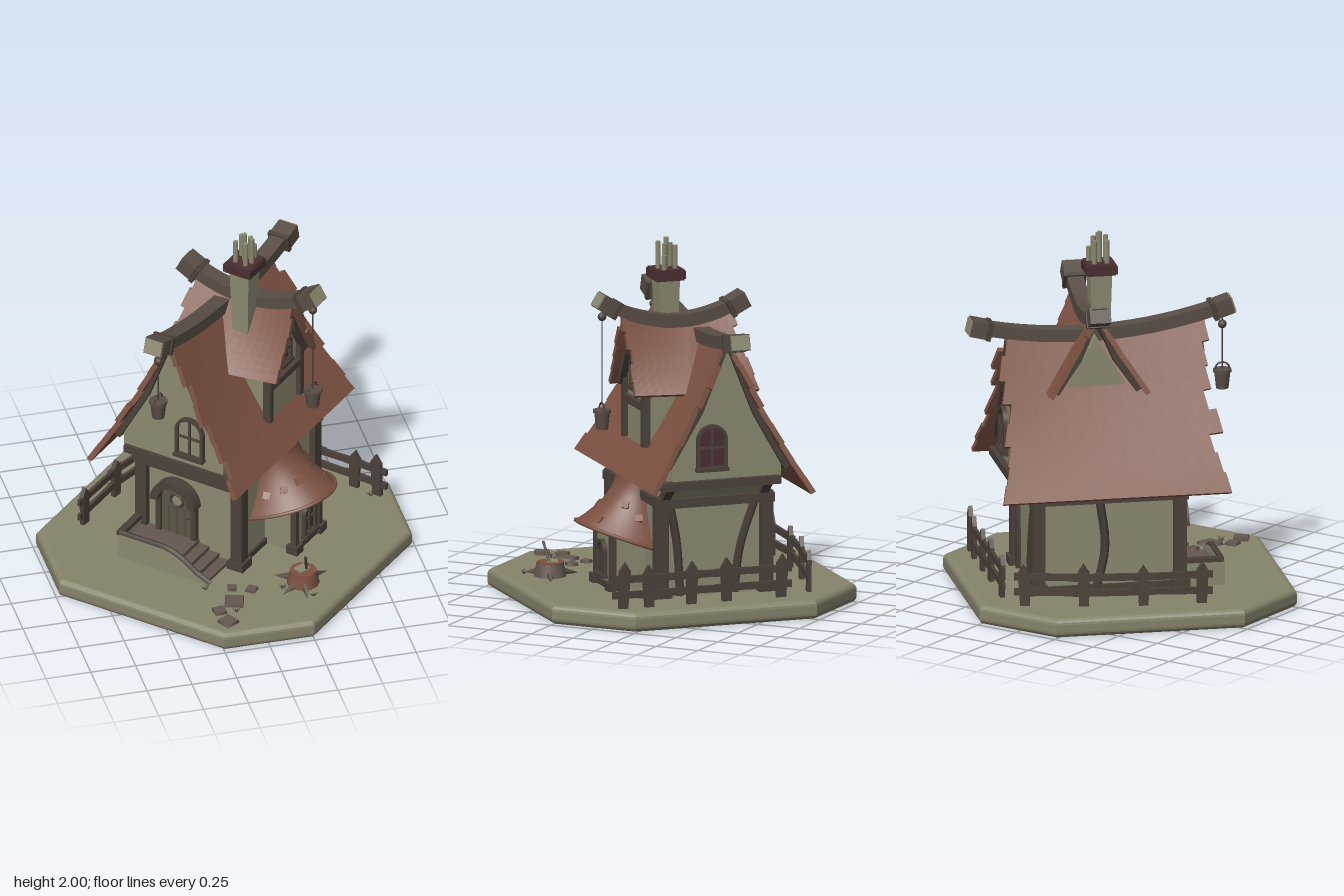
import * as THREE from 'three';

const mat = (name, color) => Object.assign(new THREE.MeshStandardMaterial({ color }), { name });
const M = {
  ground: mat('ground', 0x86846b), plaster: mat('plaster', 0x8c8a71), roof: mat('roofTiles', 0x7e5343),
  wood: mat('darkTimber', 0x4c413a), beam: mat('ridgeTimber', 0x594e45), maroon: mat('maroon', 0x4b2f31),
  stump: mat('stumpWood', 0x7e5040), door: mat('doorWood', 0x5a5645), stone: mat('stone', 0x655850),
};
M.shell = mat('roofShell', 0x7a5041);
M.shell.side = THREE.DoubleSide;

let seed = 7;
const rand = () => (seed = (seed * 16807) % 2147483647) / 2147483647;
const { lerp, clamp } = THREE.MathUtils;
const V = (x, y, z) => new THREE.Vector3(x, y, z);

function add(parent, name, geo, material, pos = [0, 0, 0], rot = [0, 0, 0]) {
  const m = new THREE.Mesh(geo, material);
  m.name = name; m.position.set(...pos); m.rotation.set(...rot);
  parent.add(m);
  return m;
}
function group(parent, name, pos = [0, 0, 0], ry = 0) {
  const g = new THREE.Group();
  g.name = name; g.position.set(...pos); g.rotation.y = ry;
  parent.add(g);
  return g;
}
const box = (p, name, m, size, pos, rot) => add(p, name, new THREE.BoxGeometry(...size), m, pos, rot);

// Moves every vertex by a rule; flat facets unless smooth
function warp(geo, fn, smooth = false) {
  const g = smooth ? geo : geo.toNonIndexed(), a = g.attributes.position;
  for (let i = 0; i < a.count; i++) a.setXYZ(i, ...fn(a.getX(i), a.getY(i), a.getZ(i)));
  g.computeVertexNormals();
  return g;
}
const extrude = (shape, depth) => new THREE.ExtrudeGeometry(shape, { depth, bevelEnabled: false, curveSegments: 10 });
const poly = pts => new THREE.Shape(pts.map(p => new THREE.Vector2(...p)));
// Extrudes a (z, y) outline along x, centred on x = 0
const sideExtrude = (shape, depth) => extrude(shape, depth).translate(0, 0, -depth / 2).rotateY(-Math.PI / 2);

function arch(w, h, y0 = 0) {
  const s = new THREE.Shape();
  s.moveTo(-w / 2, y0); s.lineTo(w / 2, y0); s.lineTo(w / 2, h - w / 2);
  s.absarc(0, h - w / 2, w / 2, 0, Math.PI); s.lineTo(-w / 2, y0);
  return s;
}
function archWindow(parent, w, h, pos, ry, pane) {
  const g = group(parent, 'window', pos, ry);
  add(g, 'pane', extrude(arch(w, h), 0.008), pane);
  const ring = arch(w + 0.036, h + 0.018, -0.01);
  ring.holes.push(arch(w, h, 0.005));
  add(g, 'frame', extrude(ring, 0.025), M.wood);
  box(g, 'mullion', M.wood, [0.012, h, 0.018], [0, h / 2, 0.009]);
  box(g, 'transom', M.wood, [w, 0.012, 0.018], [0, h * 0.5, 0.009]);
  box(g, 'sill', M.wood, [w + 0.045, 0.02, 0.035], [0, -0.01, 0.018]);
}

// Pitched roof with its ridge along x, made in courses with ragged ends
function pitchedRoof(parent, r) {
  const point = (x, t, h, side) => [x, lerp(r.ridge(x), side > 0 ? r.eave : r.eaveBack, t) - r.sag * Math.sin(Math.PI * t) + h * 0.5, side * Math.max(0, r.half(x) * t + h * 0.85)];
  const slab = (name, m, side, t0, t1, a, b, h0, h1) => add(parent, name, warp(new THREE.BoxGeometry(1, 1, 1, 14, 1, 2), (x, y, z) => {
    const t = lerp(t0, t1, side > 0 ? z + 0.5 : 0.5 - z);
    return point(lerp(a(t), b(t), x + 0.5), t, lerp(h0, h1, y + 0.5), side);
  }), m);
  for (const side of [1, -1]) {
    for (let i = 0; i < r.rows; i++) {
      const last = i === r.rows - 1, t1 = last ? 1 : (i + 1.1) / r.rows;
      const j0 = last ? 0 : rand() ** 2 * r.rag, j1 = last ? 0 : rand() ** 2 * r.rag, slant = 0.25 * r.rag;
      const drop = t => slant * (1 - t * r.rows + i);
      slab('roofCourse', M.roof, side, i / r.rows, t1,
        t => lerp(r.x0[0], r.x0[1], t) + j0 + drop(t), t => lerp(r.x1[0], r.x1[1], t) - j1 - drop(t), -0.012, 0.018);
    }
    for (const x of r.barge) slab('bargeBoard', M.wood, side, 0, r.bargeEnd, () => x - 0.02, () => x + 0.02, -0.045, -0.012);
  }
  // Curved ridge beam with a block at each end
  const L = r.beam[1] - r.beam[0], c = (r.beam[0] + r.beam[1]) / 2;
  add(parent, 'ridgeBeam', warp(new THREE.BoxGeometry(L, 0.07, 0.09, 16), (x, y, z) => [x + c, y + r.ridge(x + c) + 0.015, z]), M.beam);
  r.beam.forEach((x, i) => {
    const d = i ? 1 : -1, tilt = Math.atan((r.ridge(x + 0.01) - r.ridge(x - 0.01)) / 0.02);
    const e = group(parent, 'beamEnd', [x, r.ridge(x) + 0.01, 0]);
    e.rotation.z = tilt;
    box(e, 'endBlock', M.beam, [0.09, 0.09, 0.115], [-d * 0.03, 0, 0]);
    box(e, 'endCollar', M.wood, [0.025, 0.1, 0.125], [-d * 0.09, 0, 0]);
    if (r.pale[i]) box(e, 'endFace', M.plaster, [0.009, 0.08, 0.105], [d * 0.019, 0, 0]);
  });
}
const gableShape = (w, y0, knee, apex) => poly([[-w, y0], [w, y0], [w, knee], [0, apex], [-w, knee]]);

function hanging(parent, x, z, top, bottom) {
  const g = group(parent, 'hangingLantern', [x, 0, z]);
  add(g, 'cord', new THREE.CylinderGeometry(0.004, 0.004, top - bottom - 0.1, 6), M.wood, [0, (top + bottom + 0.1) / 2, 0]);
  add(g, 'bead', new THREE.SphereGeometry(0.024, 10, 8), M.wood, [0, top - 0.1, 0]);
  add(g, 'pail', new THREE.CylinderGeometry(0.045, 0.034, 0.1, 10), M.beam, [0, bottom + 0.05, 0]);
  add(g, 'pailRim', new THREE.CylinderGeometry(0.051, 0.051, 0.016, 10), M.beam, [0, bottom + 0.1, 0]);
  add(g, 'handle', new THREE.TorusGeometry(0.04, 0.005, 5, 12, Math.PI), M.wood, [0, bottom + 0.105, 0]);
}

function fence(root, pts) {
  const g = group(root, 'fence');
  pts.forEach(([x, z], i) => {
    const [nx, nz] = pts[i + 1] || pts[i - 1], ry = -Math.atan2(nz - z, nx - x), h = 0.22 + rand() * 0.04;
    add(g, 'picket', extrude(poly([[-0.026, 0], [0.026, 0], [0.032, h - 0.05], [0, h], [-0.032, h - 0.05]]), 0.025).translate(0, 0, -0.012), M.wood, [x, 0.105, z], [0, ry, (rand() - 0.5) * 0.12]);
    if (!pts[i + 1]) return;
    for (const y of [0.18, 0.265]) box(g, 'rail', M.wood, [Math.hypot(nx - x, nz - z) + 0.12, 0.038, 0.018], [(x + nx) / 2, y, (z + nz) / 2], [0, ry, (rand() - 0.5) * 0.08]);
  });
}

export function createModel() {
  const root = new THREE.Group();
  root.name = 'cottage';

  // Octagonal ground with a rounded edge
  const q = [[-0.25, 0.985], [-0.985, 0.25], [-0.985, -0.25], [-0.25, -0.985], [0.25, -0.985], [0.985, -0.25], [0.985, 0.25], [0.25, 0.985]];
  add(root, 'ground', new THREE.ExtrudeGeometry(poly(q), { depth: 0.04, bevelThickness: 0.033, bevelSize: 0.033, bevelOffset: -0.033, bevelSegments: 4 }).rotateX(-Math.PI / 2).translate(0, 0.033, 0), M.ground);

  // The house stands at 45 degrees; its ridge runs along x, its door at -x
  const H = group(root, 'house', [0, 0, 0], Math.PI / 4);
  box(H, 'lowerWalls', M.plaster, [0.78, 0.75, 0.6], [0.13, 0.475, -0.05]);
  for (const x of [-0.26, 0.52]) for (const z of [-0.35, 0.25]) {
    box(H, 'cornerPost', M.wood, [0.07, 0.56, 0.07], [x, 0.38, z]);
    box(H, 'postFoot', M.wood, [0.1, 0.05, 0.1], [x, 0.13, z]);
  }
  for (const z of [-0.35, 0.25]) {
    box(H, 'sideBand', M.wood, [0.84, 0.05, 0.06], [0.13, 0.625, z]);
    box(H, 'sidePlinth', M.wood, [0.78, 0.035, 0.03], [0.13, 0.125, z]);
  }
  for (const [x, d] of [[-0.26, -1], [0.52, 1]]) {
    box(H, 'endBand', M.wood, [0.07, 0.05, 0.68], [x + d * 0.01, 0.625, -0.05]);
    add(H, 'jettyCove', extrude(poly(d < 0 ? [[0, 0], [0, 0.1], [-0.1, 0.1]] : [[0, 0], [0.1, 0.1], [0, 0.1]]), 0.58), M.plaster, [x, 0.64, -0.34]);
    for (const z of [-0.33, 0.23]) box(H, 'jettyBracket', M.wood, [0.14, 0.045, 0.05], [x + d * 0.05, 0.69, z], [0, 0, d * 0.75]);
    box(H, 'jettyBeam', M.wood, [0.06, 0.045, 0.68], [x + d * 0.115, 0.74, -0.05]);
  }
  // Curved braces on the back and far end
  const brace = (a, b, c) => add(H, 'curvedBrace', new THREE.TubeGeometry(new THREE.CatmullRomCurve3([V(...a), V(...b), V(...c)]), 8, 0.024, 4), M.wood);
  brace([0.525, 0.11, -0.17], [0.525, 0.35, -0.2], [0.525, 0.62, -0.29]);
  brace([0.525, 0.11, 0.14], [0.525, 0.4, 0.16], [0.525, 0.62, 0.2]);
  brace([0.2, 0.11, -0.352], [0.15, 0.35, -0.352], [0.18, 0.62, -0.352]);

  // Main roof and gables
  const main = group(H, 'mainRoof', [0, 0, -0.09]);
  pitchedRoof(main, {
    ridge: x => 1.465 + 0.2 * (x - 0.22) ** 2, eave: 0.72, eaveBack: 0.67, half: () => 0.455, sag: 0.035, rows: 8, rag: 0.07,
    x0: [-0.46, -0.51], x1: [0.69, 0.745], barge: [-0.385, 0.63], bargeEnd: 0.8, beam: [-0.58, 0.83], pale: [true, true],
  });
  [[-0.365, 1.51, -1, M.plaster, 0.11], [0.61, 1.47, 1, M.maroon, 0.09]].forEach(([x, apex, d, pane, z]) => {
    add(main, 'gableWall', sideExtrude(gableShape(0.31, 0.72, 0.88, apex), 0.04), M.plaster, [x, 0, 0]);
    archWindow(main, 0.14, 0.22, [x + d * 0.021, 0.83, z], d * Math.PI / 2, pane);
  });

  // Cross roof with a gable at each end, narrowing toward the front
  const dormer = group(H, 'dormer', [0.175, 0, 0], -Math.PI / 2);
  pitchedRoof(dormer, {
    ridge: x => 1.54 + 0.7 * (x - 0.03) ** 2, eave: 1.19, eaveBack: 1.19, half: x => 0.265 - 0.065 * clamp(x / 0.36, 0, 1), sag: 0.01, rows: 5, rag: 0.03,
    x0: [-0.28, -0.34], x1: [0.37, 0.35], barge: [-0.25, 0.29], bargeEnd: 0.95, beam: [-0.34, 0.47], pale: [false, true],
  });
  add(dormer, 'dormerWalls', sideExtrude(gableShape(0.155, 0.84, 1.24, 1.5), 0.5), M.plaster, [0.015, 0, 0]);
  archWindow(dormer, 0.085, 0.14, [0.266, 1.205, 0], Math.PI / 2, M.maroon);
  box(dormer, 'dormerTie', M.wood, [0.04, 0.04, 0.34], [0.275, 1.12, 0]);
  for (const z of [-0.16, 0.16]) box(dormer, 'dormerPost', M.wood, [0.045, 0.34, 0.036], [0.27, 1.07, z]);

  // Square tapered chimney with clay pots
  const ch = group(H, 'chimney', [0.1, 0, 0.07]);
  add(ch, 'stack', warp(new THREE.BoxGeometry(0.12, 0.4, 0.12), (x, y, z) => [x * (0.9 + y / 2), y, z * (0.9 + y / 2)]), M.plaster, [0, 1.59, 0]);
  box(ch, 'chimneyCap', M.maroon, [0.17, 0.045, 0.17], [0, 1.8, 0]);
  box(ch, 'capLip', M.maroon, [0.155, 0.062, 0.155], [0, 1.8, 0]);
  [[0, 0, 0.17], [0.03, 0.02, 0.14], [-0.04, 0.03, 0.14], [0.035, -0.04, 0.13], [-0.035, -0.035, 0.13], [0, 0.045, 0.15], [0.055, 0.03, 0.08]]
    .forEach(([x, z, h]) => add(ch, 'chimneyPot', new THREE.CylinderGeometry(0.014, 0.014, h, 8), M.plaster, [x, 1.83 + h / 2, z]));

  hanging(H, 0.165, 0.46, 1.7, 0.98);
  hanging(H, -0.545, -0.09, 1.59, 1.13);

  // Bay with a flared half-round roof
  const bay = group(H, 'bay', [0.13, 0, 0.25]);
  box(bay, 'bayWalls', M.plaster, [0.26, 0.38, 0.26], [0.01, 0.29, 0.06]);
  for (const s of [-1, 1]) {
    box(bay, 'bayPost', M.wood, [0.035, 0.35, 0.035], [0.01 + s * 0.125, 0.28, 0.185]);
    box(bay, 'bayFoot', M.wood, [0.07, 0.05, 0.07], [0.01 + s * 0.125, 0.13, 0.185]);
  }
  box(bay, 'bayPlinth', M.wood, [0.25, 0.035, 0.02], [0.01, 0.125, 0.19]);
  archWindow(bay, 0.09, 0.17, [0.01, 0.18, 0.191], 0, M.maroon);
  const cone = (a, t) => [Math.sin(a) * (0.13 + 0.145 * t ** 1.8), lerp(0.73, 0.35 + 0.12 * Math.cos(a), t), Math.cos(a) * (0.11 + 0.225 * t ** 2)];
  add(bay, 'bayRoof', warp(new THREE.CylinderGeometry(1, 1, 1, 24, 8, true, -Math.PI / 2, Math.PI), (x, y, z) => cone(Math.atan2(x, z), 0.5 - y), true), M.shell);
  const rim = Array.from({ length: 17 }, (_, i) => V(...cone((i / 16 - 0.5) * Math.PI, 1)));
  add(bay, 'bayRoofRim', new THREE.TubeGeometry(new THREE.CatmullRomCurve3(rim), 32, 0.011, 5), M.roof);
  for (let i = 0; i < 7; i++) {
    const a = (i / 6 - 0.5) * 2.6;
    box(bay, 'looseTile', M.roof, [0.04, 0.04, 0.012], cone(a, 0.5 + 0.4 * rand()), [-0.7, a, 0]).rotation.order = 'YXZ';
  }

  // Arched door
  const door = group(H, 'door', [-0.262, 0.2, -0.13], -Math.PI / 2);
  add(door, 'doorLeaf', extrude(arch(0.19, 0.31), 0.015), M.door);
  for (const x of [-0.05, 0, 0.05]) box(door, 'plankSeam', M.wood, [0.006, 0.17, 0.006], [x, 0.085, 0.016]);
  add(door, 'roundPane', new THREE.CircleGeometry(0.035, 16), M.plaster, [0, 0.215, 0.018]);
  add(door, 'roundFrame', new THREE.TorusGeometry(0.038, 0.008, 6, 18), M.wood, [0, 0.215, 0.018]);
  add(door, 'doorKnob', new THREE.SphereGeometry(0.011, 8, 6), M.wood, [0.07, 0.13, 0.024]);
  const hood = new THREE.Shape();
  hood.absarc(0, 0.215, 0.14, 0, Math.PI); hood.absarc(0, 0.215, 0.095, Math.PI, 0, true);
  add(door, 'doorHood', extrude(hood, 0.07), M.wood);
  for (const x of [-0.11, 0.11]) box(door, 'doorJamb', M.wood, [0.03, 0.22, 0.035], [x, 0.11, 0.015]);

  // Landing, steps and curved parapet
  const porch = group(H, 'porch');
  box(porch, 'landing', M.stone, [0.23, 0.1, 0.36], [-0.37, 0.15, -0.18]);
  [0.175, 0.15, 0.125].forEach((y, i) => box(porch, 'step', M.stone, [0.22, y - 0.1, 0.065], [-0.37, (y + 0.1) / 2, 0.03 + i * 0.062]));
  const rail = new THREE.CatmullRomCurve3([V(0, 0.25, -0.36), V(0, 0.25, -0.2), V(0, 0.245, -0.06), V(0, 0.21, 0.03), V(0, 0.15, 0.12), V(0, 0.115, 0.2)]);
  add(porch, 'parapet', sideExtrude(poly([[-0.36, 0.1], [0.2, 0.1], ...rail.getPoints(16).reverse().map(p => [p.z, p.y])]), 0.035), M.plaster, [-0.49, 0, 0]);
  add(porch, 'coping', new THREE.TubeGeometry(rail, 20, 0.018, 6), M.wood, [-0.49, 0, 0]);
  box(porch, 'endParapet', M.plaster, [0.23, 0.15, 0.03], [-0.38, 0.175, -0.36]);
  box(porch, 'endCoping', M.wood, [0.24, 0.025, 0.04], [-0.38, 0.25, -0.36]);

  // Fences along the back and the far end
  fence(root, [[-0.71, -0.26], [-0.48, -0.48], [-0.22, -0.67], [0.05, -0.84]]);
  fence(root, [[0.25, -0.77], [0.47, -0.55], [0.62, -0.41], [0.79, -0.24], [0.89, -0.13]]);

  // Chopping stump, its bark stripped on one side, with roots and an axe
  const st = group(root, 'stump', [0.29, 0.1, 0.59]);
  const half = start => new THREE.CylinderGeometry(0.075, 0.09, 0.08, 6, 1, true, start, Math.PI);
  add(st, 'strippedSide', half(-0.75 * Math.PI), M.stump, [0, 0.04, 0]);
  add(st, 'barkSide', half(0.25 * Math.PI), M.stone, [0, 0.04, 0]);
  add(st, 'cutTop', new THREE.CylinderGeometry(0.074, 0.074, 0.01, 12), M.stump, [0, 0.08, 0]);
  for (const a of [0.45, 2.5, 3.75, 4.6]) {
    const r = group(st, 'root', [0, 0, 0], a);
    add(r, 'rootLimb', new THREE.ConeGeometry(0.03, 0.13, 5), M.stone, [0.11, 0.017, 0], [0, 0, -1.75]);
  }
  box(st, 'woodChip', M.plaster, [0.07, 0.008, 0.06], [-0.005, 0.088, -0.01], [0, 0.5, 0]);
  add(st, 'axeHandle', new THREE.CylinderGeometry(0.008, 0.008, 0.12, 6), M.wood, [0.01, 0.14, 0.02], [0.4, 0, 0.15]);

  // Stepping stones and grass tufts
  [[-0.12, 0.69, 0.074], [-0.22, 0.76, 0.048], [-0.2, 0.87, 0.062], [0, 0.6, 0.04], [-0.1, 0.56, 0.035]].forEach(([x, z, r], i) =>
    add(root, 'steppingStone', new THREE.CylinderGeometry(r * 0.9, r, 0.02, 4), M.stone, [x, 0.113, z], [0, 0.5 + i * 0.4, 0]));
  for (const [x, z] of [[-0.24, 0.53], [-0.13, 0.78], [0.17, 0.62], [0.31, 0.74], [0.85, -0.13]])
    for (let i = 0; i < 4; i++) add(root, 'grassBlade', new THREE.ConeGeometry(0.006, 0.04, 3), M.door, [x + (i - 1.5) * 0.01, 0.12, z], [rand() - 0.5, 0, (1.5 - i) * 0.4]);
  return root;
}
